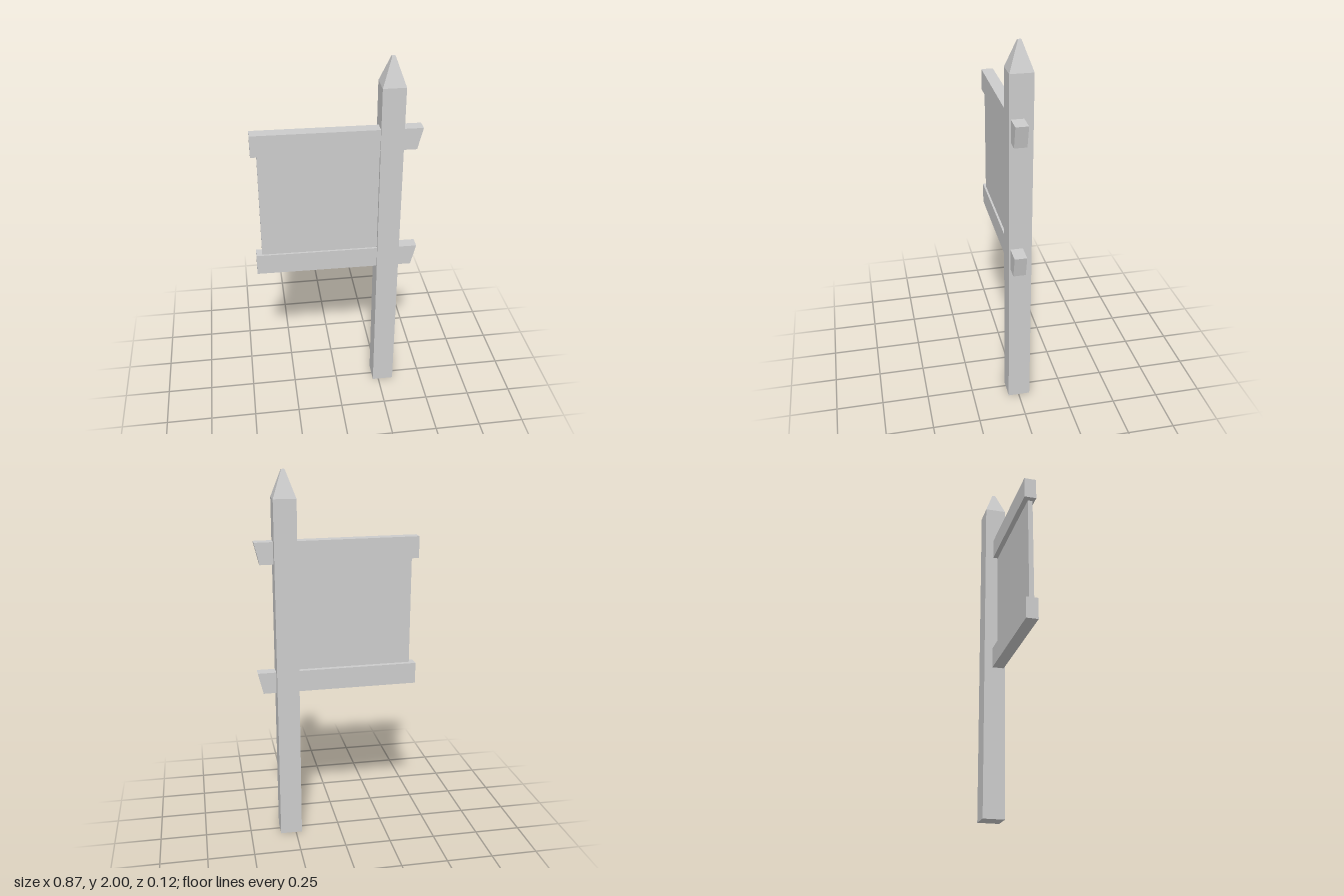
import * as THREE from 'three';

const material = new THREE.MeshStandardMaterial({ color: 0xcccccc, flatShading: true });

function add(group, name, geometry, x, y, z) {
  const mesh = new THREE.Mesh(geometry, material);
  mesh.name = name;
  mesh.position.set(x, y, z);
  group.add(mesh);
}

// Board cut from a front outline, extruded from z0 to z1
function board(points, z0, z1) {
  const shape = new THREE.Shape(points.map(([x, y]) => new THREE.Vector2(x, y)));
  return new THREE.ExtrudeGeometry(shape, { depth: z1 - z0, bevelEnabled: false }).translate(0, 0, z0);
}

export function createModel() {
  const group = new THREE.Group();
  group.name = 'signpost';

  // Square post with a blunt pyramid tip
  const postX = 0.276, postZ = -0.002, width = 0.118, shaft = 1.86;
  add(group, 'post', new THREE.BoxGeometry(width, shaft, width), postX, shaft / 2, postZ);
  const tip = new THREE.CylinderGeometry(0.009 * Math.SQRT2, width / Math.SQRT2, 2 - shaft, 4)
    .rotateY(Math.PI / 4);
  add(group, 'postTip', tip, postX, (2 + shaft) / 2, postZ);

  // Two rails, slightly tilted, with a slanted cut at the post end
  const outline = [[-0.433, 0.004], [0.405, -0.004], [0.433, 0.111], [-0.433, 0.119]];
  for (const [name, y] of [['lowerRail', 0.833], ['upperRail', 1.53]]) {
    add(group, name, board(outline, -0.015, 0.049), 0, y, 0);
  }

  // Thin panel held between the rails
  const panel = [[-0.402, 0.93], [0.25, 0.93], [0.25, 1.55], [-0.402, 1.55]];
  add(group, 'panel', board(panel, 0.012, 0.038), 0, 0, 0);

  return group;
}
